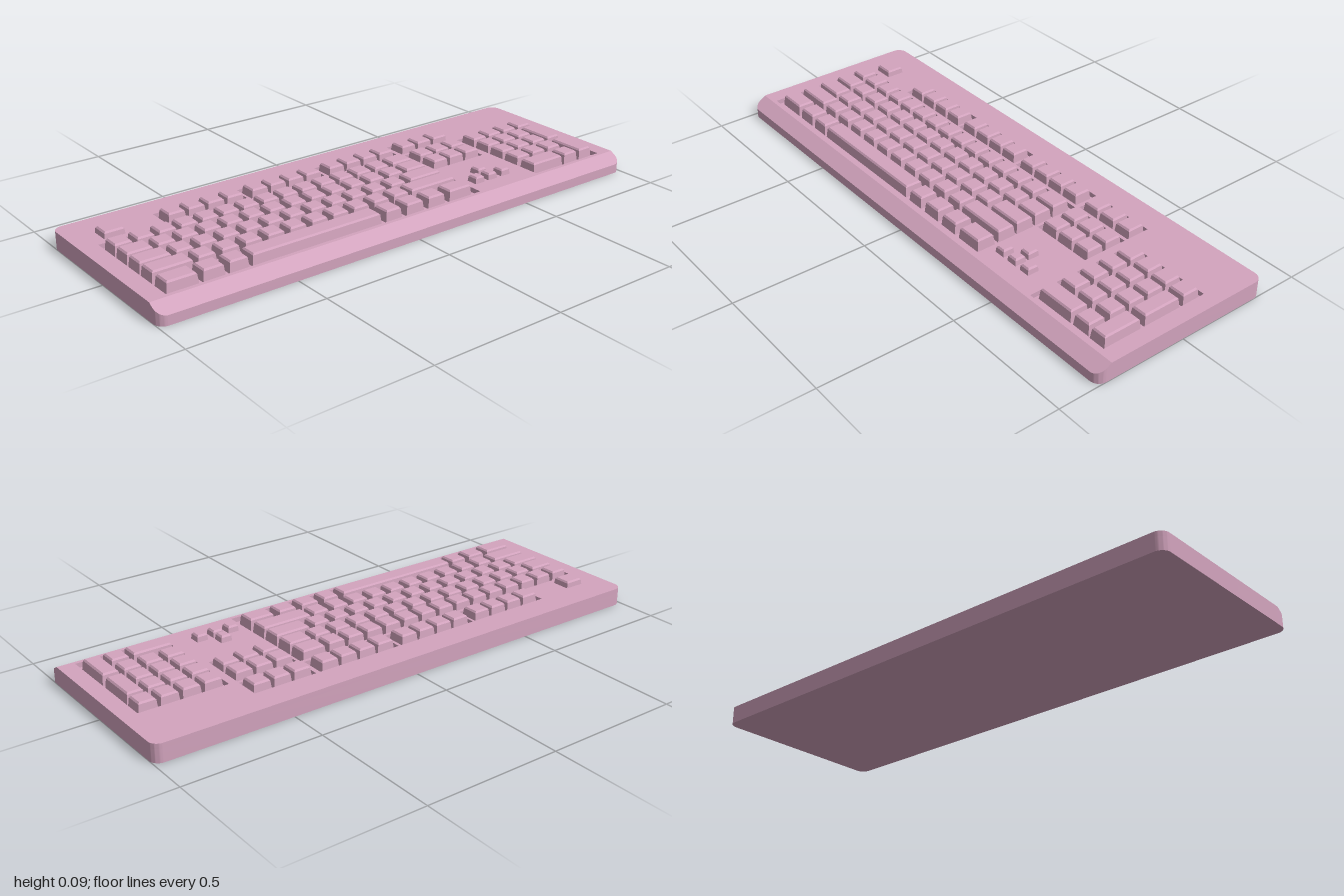
import * as THREE from 'three';
import { mergeGeometries, toCreasedNormals } from 'three/addons/utils/BufferGeometryUtils.js';

const pink = new THREE.MeshStandardMaterial({ color: 0xd3a4be });
pink.name = 'dusty pink';

const DECK = 0.066, FLOOR = 0.048, KEY_TOP = 0.09;
const BACK = -0.352, FRONT = 0.352, BEND = 0.3, R = 0.035;

// Plan shape with x across and y standing for depth (z); radii at the back and front corners
function plan(x0, x1, z0, z1, rBack = 0, rFront = 0) {
  const s = new THREE.Shape();
  const corner = (cx, cz, r, a) => r
    ? s.absarc(cx, cz, r, a, a + Math.PI / 2, false)
    : s.lineTo(cx, cz);
  s.moveTo(x0 + rBack, z0);
  corner(x1 - rBack, z0 + rBack, rBack, -Math.PI / 2);
  corner(x1 - rFront, z1 - rFront, rFront, 0);
  corner(x0 + rFront, z1 - rFront, rFront, Math.PI / 2);
  corner(x0 + rBack, z0 + rBack, rBack, Math.PI);
  s.closePath();
  return s;
}

// Upright slab from a plan shape
function slab(shape, bottom, top) {
  const g = new THREE.ExtrudeGeometry(shape, { depth: top - bottom, bevelEnabled: false, curveSegments: 8 });
  return g.rotateX(Math.PI / 2).translate(0, top, 0);
}

// Tapered key cap with a softened top edge, given by its plan limits
function key(x0, x1, z0, z1) {
  const g = new THREE.BoxGeometry(1, 2, 1, 1, 2, 1);
  const p = g.attributes.position;
  const rings = [[FLOOR, 0], [0.084, 0.004], [KEY_TOP, 0.009]];
  for (let i = 0; i < p.count; i++) {
    const [y, inset] = rings[Math.round(p.getY(i)) + 1];
    p.setXYZ(i,
      p.getX(i) < 0 ? x0 + inset : x1 - inset, y,
      p.getZ(i) < 0 ? z0 + inset : z1 - inset);
  }
  const flat = g.toNonIndexed();
  flat.computeVertexNormals();
  return flat;
}

const keyAt = (x, z, w = 0.07, d = 0.07) => key(x - w / 2, x + w / 2, z - d / 2, z + d / 2);
const wide = (x0, x1, z) => key(x0, x1, z - 0.036, z + 0.036);
const run = (n, first, last, z) =>
  Array.from({ length: n }, (_, i) => keyAt(first + (last - first) * i / (n - 1), z));

export function createModel() {
  const model = new THREE.Group();
  model.name = 'keyboard';
  const add = (name, geometry) => {
    const m = new THREE.Mesh(geometry, pink);
    m.name = name;
    model.add(m);
  };

  // Case: solid base, deck pierced by the key wells
  const deck = plan(-1, 1, BACK, BEND, R, 0);
  const wells = [
    [-0.935, 0.335, -0.145, 0.285],
    [0.345, 0.582, -0.145, 0.03],
    [0.612, 0.94, -0.145, 0.285],
    [-0.677, -0.348, -0.25, -0.158],
    [-0.338, -0.012, -0.25, -0.158],
    [0, 0.328, -0.25, -0.158],
    [0.345, 0.582, -0.25, -0.158],
  ];
  add('caseBase', toCreasedNormals(slab(plan(-1, 1, BACK, BEND, R, 0), 0, FLOOR), 0.6));
  for (const w of wells) deck.holes.push(plan(...w));
  add('caseDeck', toCreasedNormals(slab(deck, FLOOR, DECK), 0.6));

  // Front lip slopes down from the deck
  const lip = slab(plan(-1, 1, BEND, FRONT, 0, R), 0, DECK);
  const p = lip.attributes.position;
  for (let i = 0; i < p.count; i++) {
    if (p.getY(i) > 0.01) p.setY(i, DECK - (p.getZ(i) - BEND) * 0.6);
  }
  add('frontLip', toCreasedNormals(lip, 0.5));

  // Row centres from the back to the front
  const [r1, r2, r3, r4, r5] = [-0.098, -0.019, 0.06, 0.139, 0.225];

  // Back row
  add('escapeKey', keyAt(-0.862, -0.203, 0.08, 0.072));
  add('backRowKeys', mergeGeometries([
    ...run(4, -0.628, -0.395, -0.203),
    ...run(4, -0.292, -0.06, -0.203),
    ...run(4, 0.045, 0.277, -0.203),
    ...run(3, 0.388, 0.543, -0.203),
  ]));

  // Main block: letters and digits
  add('letterKeys', mergeGeometries([
    ...run(14, -0.885, 0.172, r1),
    ...run(12, -0.772, 0.173, r2),
    ...run(11, -0.753, 0.12, r3),
    ...run(10, -0.72, 0.067, r4),
  ]));

  // Wide keys at both ends of each row
  add('modifierKeys', mergeGeometries([
    wide(0.22, 0.315, r1),
    wide(-0.92, -0.82, r2), wide(0.22, 0.315, r2),
    wide(-0.92, -0.8, r3), wide(0.172, 0.315, r3),
    wide(-0.92, -0.768, r4), wide(0.112, 0.315, r4),
    ...[[-0.92, -0.805], [-0.79, -0.71], [-0.695, -0.622], [-0.072, -0.003],
      [0.018, 0.095], [0.115, 0.192], [0.212, 0.315]].map(([a, b]) => wide(a, b, r5)),
  ]));
  add('spaceBar', wide(-0.61, -0.092, r5));

  // Navigation block and arrows
  add('navigationKeys', mergeGeometries([r1, r2].flatMap((z) => run(3, 0.388, 0.543, z))));
  add('arrowKeys', mergeGeometries(
    [[0.449, 0.152], [0.388, 0.206], [0.449, 0.206], [0.512, 0.206]]
      .map(([x, z]) => keyAt(x, z, 0.046, 0.048))));

  // Number pad with tall and wide keys
  add('numberPad', mergeGeometries([
    ...run(4, 0.66, 0.896, r1),
    ...[r2, r3, r4].flatMap((z) => run(3, 0.66, 0.82, z)),
    key(0.863, 0.928, -0.052, 0.097),
    key(0.863, 0.928, 0.113, 0.262),
    wide(0.625, 0.775, r5),
    keyAt(0.82, r5),
  ]));

  return model;
}
